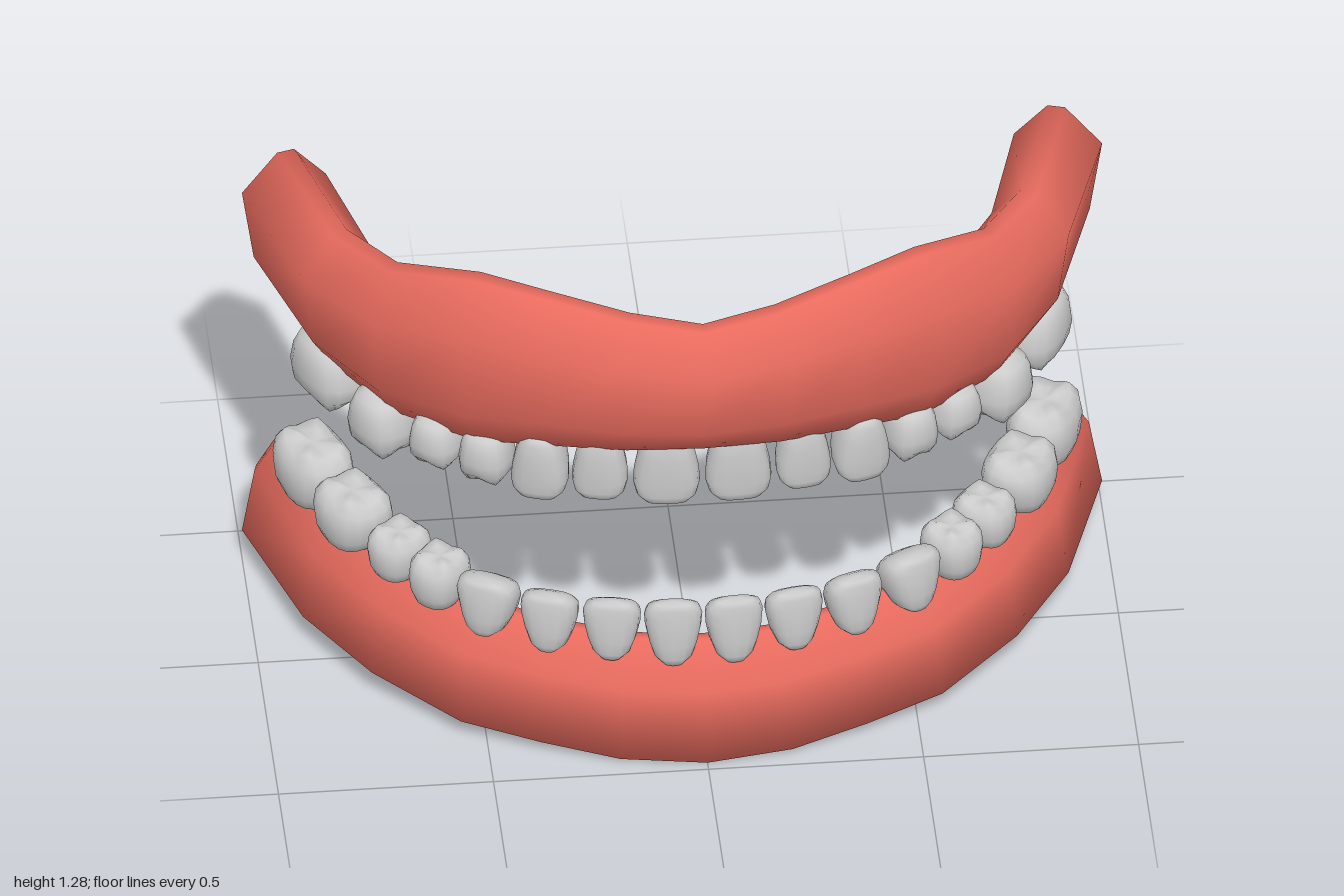
import * as THREE from 'three';
import { toCreasedNormals } from 'three/addons/utils/BufferGeometryUtils.js';

const gumMaterial = new THREE.MeshStandardMaterial({ color: 0xe86b5e });
const toothMaterial = new THREE.MeshStandardMaterial({ color: 0xcccccc });

// Joins rings of equal length; ends are closed with a fan to the given points.
function loft(rings, startPoint, endPoint, crease) {
  const n = rings[0].length, m = rings.length;
  const points = [...rings.flat(), startPoint, endPoint];
  const index = [];
  for (let i = 0; i < m - 1; i++) {
    for (let j = 0; j < n; j++) {
      const a = i * n + j, b = i * n + (j + 1) % n;
      index.push(a, a + n, b + n, a, b + n, b);
    }
  }
  for (let j = 0; j < n; j++) {
    const k = (j + 1) % n, last = (m - 1) * n;
    index.push(m * n, j, k, m * n + 1, last + k, last + j);
  }
  const geometry = new THREE.BufferGeometry();
  geometry.setAttribute('position', new THREE.Float32BufferAttribute(points.flat(), 3));
  geometry.setIndex(index);
  return toCreasedNormals(geometry, crease);
}

// Arch stations from the middle to the left end: outer x, z and inner x, z
const arch = [
  [0, 0.475, 0, 0.29], [0.2, 0.455, 0.15, 0.28], [0.38, 0.4, 0.34, 0.222],
  [0.56, 0.33, 0.47, 0.16], [0.75, 0.16, 0.64, 0], [0.89, -0.06, 0.72, -0.16],
  [1, -0.4, 0.8, -0.455], [0.985, -0.438, 0.835, -0.475],
];

// Sweeps a profile (u: inner to outer, v: bottom to top) around the arch
function makeGum(name, profile, heights) {
  const rings = [];
  const last = arch.length - 1;
  for (let i = -last; i <= last; i++) {
    const k = Math.abs(i), side = Math.sign(i);
    const [ox, oz, ix, iz] = arch[k];
    const [low, high] = heights[k];
    rings.push(profile.map(([u, v]) => [
      side * (ix + (ox - ix) * u), low + (high - low) * v, iz + (oz - iz) * u,
    ]));
  }
  const [low, high] = heights[last];
  const y = (low + high) / 2;
  const mesh = new THREE.Mesh(loft(rings, [-0.91, y, -0.462], [0.91, y, -0.462], 1.8), gumMaterial);
  mesh.name = name;
  return mesh;
}

// Tooth sections from root to biting edge: height, width scale, depth scale
const frontSections = [
  [0.02, 0.36, 0.45], [0.12, 0.66, 0.8], [0.32, 0.85, 1], [0.55, 0.97, 0.95],
  [0.74, 1, 0.78], [0.88, 0.9, 0.55], [0.97, 0.62, 0.32],
];
const backSections = [
  [0.02, 0.45, 0.5], [0.09, 0.74, 0.8], [0.28, 0.9, 0.95], [0.55, 1, 1],
  [0.76, 0.96, 0.92], [0.91, 0.74, 0.68], [0.92, 0.38, 0.34],
];
// Share of the cusp height taken by each section
const cuspShare = [0, 0, 0, 0, 0.4, 1, 0.5];

// One tooth standing on its root; cusp raises the corners of the crown
function toothGeometry(w, h, d, cusp) {
  const sections = cusp ? backSections : frontSections;
  const sides = 16;
  const round = (c) => Math.sign(c) * Math.pow(Math.abs(c), 0.75);
  const rings = sections.map(([t, sx, sz], s) => {
    const ring = [];
    // Front teeth keep a nearly straight outer face
    const forward = cusp ? 0 : 0.75 * (1 - sz);
    for (let j = 0; j < sides; j++) {
      const a = (j / sides) * Math.PI * 2;
      const lift = -cusp * cuspShare[s] * Math.cos(4 * a);
      ring.push([
        (w / 2) * sx * round(Math.cos(a)),
        h * (t + lift),
        (d / 2) * (sz * round(Math.sin(a)) + forward),
      ]);
    }
    return ring;
  });
  const tipZ = cusp ? 0 : 0.25 * d;
  return loft(rings, [0, 0, tipZ], [0, h * (cusp ? 0.88 : 1), tipZ], 1.4);
}

// Teeth from the middle outward: x, z, width, depth, root y, crown y, cusp
const upperTeeth = [
  [0.083, 0.34, 0.155, 0.105, 0.88, 0.687, 0],
  [0.235, 0.32, 0.13, 0.1, 0.87, 0.695, 0],
  [0.37, 0.288, 0.135, 0.12, 0.865, 0.687, 0],
  [0.49, 0.24, 0.125, 0.13, 0.845, 0.695, 0.05],
  [0.595, 0.165, 0.125, 0.14, 0.835, 0.695, 0.05],
  [0.715, 0.06, 0.155, 0.15, 0.83, 0.66, 0.055],
  [0.815, -0.145, 0.21, 0.165, 0.845, 0.66, 0.055],
];
const lowerTeeth = [
  [0.07, 0.367, 0.135, 0.1, 0.235, 0.415, 0],
  [0.21, 0.35, 0.135, 0.105, 0.25, 0.415, 0],
  [0.35, 0.316, 0.135, 0.115, 0.26, 0.42, 0],
  [0.485, 0.255, 0.145, 0.135, 0.275, 0.43, 0],
  [0.595, 0.182, 0.13, 0.14, 0.295, 0.443, 0.05],
  [0.68, 0.088, 0.13, 0.145, 0.31, 0.448, 0.05],
  [0.775, -0.048, 0.185, 0.165, 0.312, 0.472, 0.055],
  [0.85, -0.235, 0.21, 0.165, 0.302, 0.476, 0.055],
];

// Places a mirrored row of teeth, each turned to follow the arch
function makeTeeth(name, teeth) {
  const row = new THREE.Group();
  row.name = name;
  teeth.forEach(([x, z, w, d, root, crown, cusp], i) => {
    const before = i ? teeth[i - 1] : [-x, z];
    const after = teeth[i + 1] || [x, z];
    const turn = Math.atan2(before[1] - after[1], after[0] - before[0]);
    const geometry = toothGeometry(w, Math.abs(crown - root), d, cusp);
    for (const side of [1, -1]) {
      const tooth = new THREE.Mesh(geometry, toothMaterial);
      tooth.name = (side > 0 ? 'left' : 'right') + (cusp ? 'BackTooth' : 'FrontTooth') + (i + 1);
      tooth.position.set(side * x, root, z);
      tooth.rotation.set(0, side * turn, crown < root ? Math.PI : 0);
      row.add(tooth);
    }
  });
  return row;
}

export function createModel() {
  const model = new THREE.Group();
  model.name = 'dentalArches';

  // Upper gum: rounded, rising to a peak above each canine
  model.add(makeGum('upperGum',
    [[0.38, 0], [0.58, 0], [0.86, 0.23], [1, 0.75], [0.58, 1], [0.38, 1], [0, 0.75], [0.08, 0.23]],
    [[0.86, 1.195], [0.855, 1.23], [0.84, 1.265], [0.815, 1.28],
      [0.79, 1.195], [0.785, 1.16], [0.785, 1.16], [0.815, 1.12]]));

  // Lower gum: flat base, rounded ridge
  model.add(makeGum('lowerGum',
    [[0, 0], [1, 0], [0.85, 0.63], [0.58, 0.91], [0.46, 1], [0.34, 1], [0.12, 0.7]],
    [[0, 0.285], [0.01, 0.29], [0.03, 0.305], [0.05, 0.325],
      [0.075, 0.345], [0.08, 0.345], [0.08, 0.345], [0.1, 0.315]]));

  model.add(makeTeeth('upperTeeth', upperTeeth));
  model.add(makeTeeth('lowerTeeth', lowerTeeth));
  return model;
}
